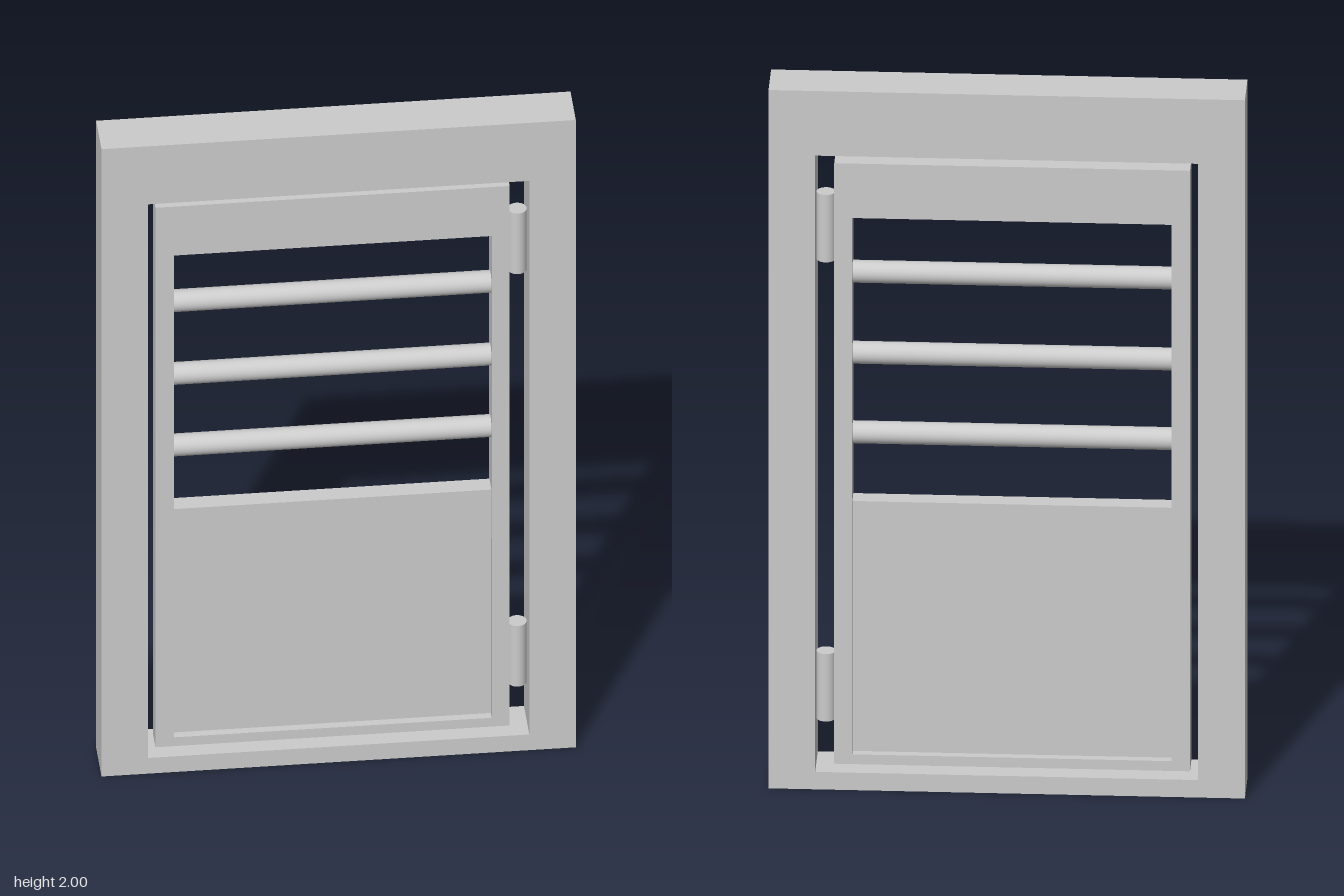
import * as THREE from 'three';

const material = new THREE.MeshStandardMaterial({ color: 0xcccccc });

function addMesh(parent, name, geometry, x = 0, y = 0, z = 0) {
  const mesh = new THREE.Mesh(geometry, material);
  mesh.name = name;
  mesh.position.set(x, y, z);
  parent.add(mesh);
  return mesh;
}

// Trace a rectangle onto a Shape or Path
function rect(path, [x0, x1, y0, y1]) {
  path.moveTo(x0, y0);
  path.lineTo(x1, y0);
  path.lineTo(x1, y1);
  path.lineTo(x0, y1);
  path.closePath();
  return path;
}

// Rectangular slab with a rectangular opening, centred on z = 0
function frameGeometry(outer, inner, depth) {
  const shape = rect(new THREE.Shape(), outer);
  shape.holes.push(rect(new THREE.Path(), inner));
  return new THREE.ExtrudeGeometry(shape, { depth, bevelEnabled: false }).translate(0, 0, -depth / 2);
}

function addBoard(parent, name, [x0, x1, y0, y1], depth) {
  addMesh(parent, name, new THREE.BoxGeometry(x1 - x0, y1 - y0, depth), (x0 + x1) / 2, (y0 + y1) / 2);
}

export function createModel() {
  const model = new THREE.Group();
  model.name = 'barredDoor';

  // Fixed surround
  addMesh(model, 'doorFrame', frameGeometry([-0.622, 0.622, 0, 2], [-0.5, 0.5, 0.05, 1.815], 0.13));

  // Door leaf: stiles and rails, middle rail and recessed lower panel
  const door = new THREE.Group();
  door.name = 'door';
  model.add(door);
  const left = -0.428, right = 0.405;
  addMesh(door, 'doorLeaf', frameGeometry([-0.477, 0.452, 0.06, 1.78], [left, right, 0.088, 1.624], 0.066));
  addBoard(door, 'middleRail', [left, right, 0.655, 0.81], 0.05);
  addBoard(door, 'lowerPanel', [left, right, 0.088, 0.655], 0.022);

  // Horizontal round bars across the window
  const barGeometry = new THREE.CylinderGeometry(0.03, 0.03, right - left, 32).rotateZ(Math.PI / 2);
  for (const y of [0.997, 1.225, 1.457]) addMesh(door, 'bar', barGeometry, (left + right) / 2, y);

  // Hinge barrels between leaf and frame
  const hingeGeometry = new THREE.CylinderGeometry(0.025, 0.025, 0.193, 32);
  for (const y of [0.273, 1.588]) addMesh(model, 'hinge', hingeGeometry, 0.475, y);

  return model;
}
